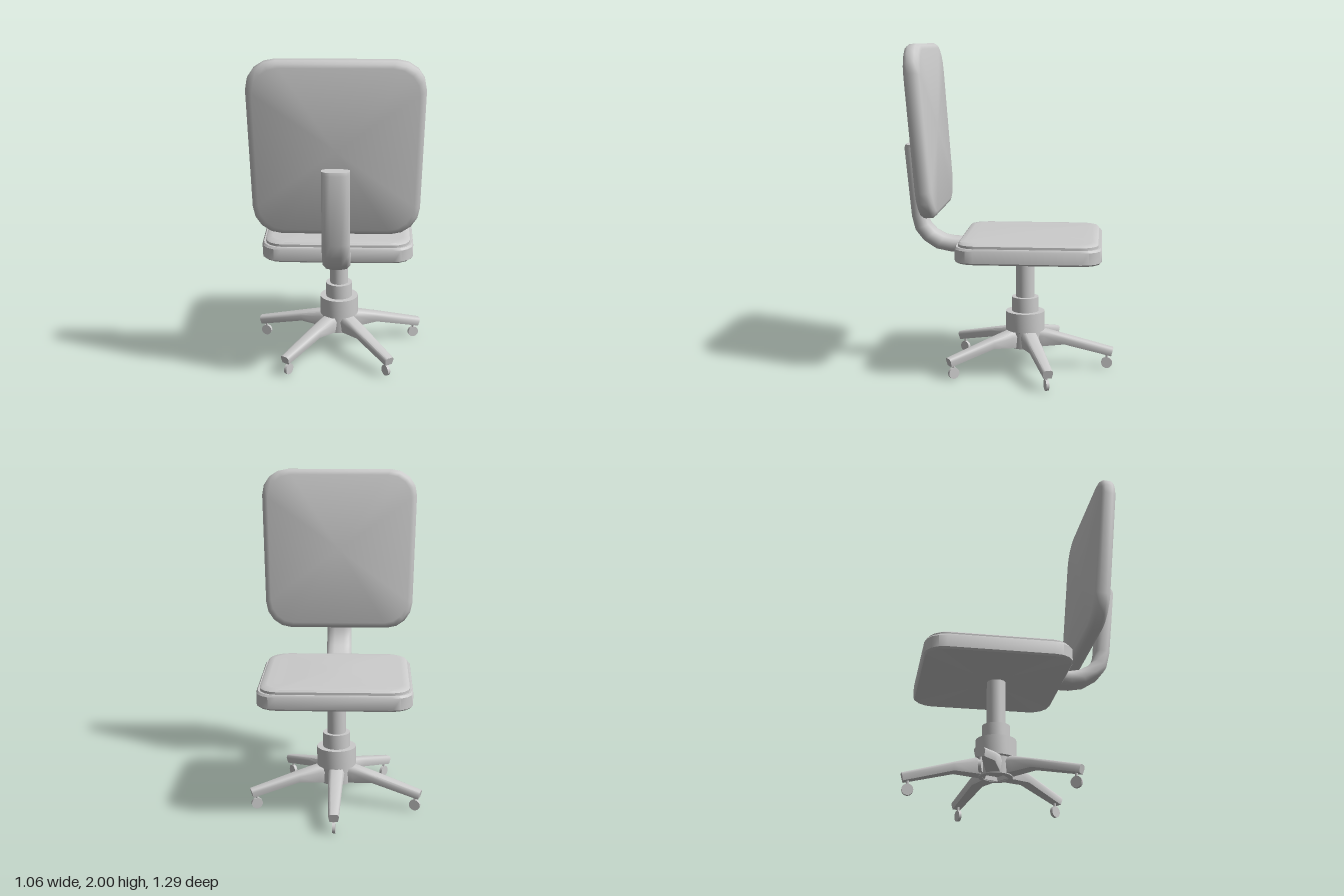
import * as THREE from 'three';
import { toCreasedNormals } from 'three/addons/utils/BufferGeometryUtils.js';

const material = new THREE.MeshStandardMaterial({ color: 0xcccccc, roughness: 0.8 });

function part(name, geometry, parent) {
  const mesh = new THREE.Mesh(geometry, material);
  mesh.name = name;
  parent.add(mesh);
  return mesh;
}

// Skin over counter-clockwise rings stacked along +z, closed at both ends
function loft(rings, crease = 0.7) {
  const n = rings[0].length, pos = [], idx = [];
  rings.forEach(r => r.forEach(p => pos.push(...p)));
  for (let i = 0; i < rings.length - 1; i++) {
    for (let j = 0; j < n; j++) {
      const a = i * n + j, b = i * n + (j + 1) % n;
      idx.push(a, b, b + n, a, b + n, a + n);
    }
  }
  [0, rings.length - 1].forEach(i => {
    const c = pos.length / 3;
    pos.push(...[0, 1, 2].map(k => rings[i].reduce((s, p) => s + p[k], 0) / n));
    for (let j = 0; j < n; j++) {
      const a = i * n + j, b = i * n + (j + 1) % n;
      if (i) idx.push(c, a, b); else idx.push(c, b, a);
    }
  });
  const g = new THREE.BufferGeometry();
  g.setAttribute('position', new THREE.Float32BufferAttribute(pos, 3));
  g.setIndex(idx);
  return toCreasedNormals(g, crease);
}

// Rounded rectangle ring at height z, with a few segments on each corner
function roundedRing(hx, hy, r, z, segments = 4) {
  const ring = [];
  [[1, 1], [-1, 1], [-1, -1], [1, -1]].forEach(([sx, sy], q) => {
    for (let k = 0; k <= segments; k++) {
      const a = (q + k / segments) * Math.PI / 2;
      ring.push([sx * (hx - r) + r * Math.cos(a), sy * (hy - r) + r * Math.sin(a), z]);
    }
  });
  return ring;
}

function buildSeat(chair) {
  const seat = new THREE.Group();
  seat.name = 'seat';
  seat.position.z = -0.132;
  chair.add(seat);
  // Shell with a softened rim
  const shell = [[0.445, 0.425, 0.728], [0.455, 0.433, 0.738], [0.455, 0.433, 0.808], [0.447, 0.426, 0.82]]
    .map(([hx, hz, y]) => roundedRing(hx, hz, 0.12, y));
  part('seatShell', loft(shell).rotateX(-Math.PI / 2), seat);
  // Cushion, crowned along its middle
  const crown = x => 0.014 * Math.max(0, 1 - (x / 0.42) ** 2) ** 2;
  const cushion = [[0.435, 0.413, 0.81], [0.435, 0.413, 0.835], [0.425, 0.403, 0.844]]
    .map(([hx, hz, y]) => roundedRing(hx, hz, 0.11, y));
  [0.93, 0.8, 0.6, 0.4, 0.2, 0.05].forEach(s =>
    cushion.push(roundedRing(0.425 * s, 0.403 * s, 0.11 * s, 0.846)));
  cushion.slice(2).forEach(r => r.forEach(p => { p[2] += crown(p[0]); }));
  part('seatCushion', loft(cushion).rotateX(-Math.PI / 2), seat);
}

function buildBackrest(chair) {
  // Slab wider at the top, with rounded rims front and back
  const rings = [[0.035, -0.05], [0.014, -0.042], [0, -0.022], [0, 0.022], [0.014, 0.042], [0.035, 0.05]]
    .map(([inset, z]) => roundedRing(0.485 - inset, 0.51 - inset, 0.165 - inset * 0.5, z)
      .map(([x, y, zz]) => [x * (1 + 0.06 * y), y, zz]));
  const back = part('backrest', loft(rings, 0.9), chair);
  back.position.set(0, 1.488, 0.492);
  back.rotation.x = 0.08;
}

function buildBackSupport(chair) {
  // Bent bar: stations of [z, y] on its outer and inner sides
  const outer = [[0.24, 0.728], [0.36, 0.728], [0.45, 0.745], [0.53, 0.797], [0.583, 0.865], [0.604, 0.95], [0.645, 1.37], [0.638, 1.39]];
  const inner = [[0.24, 0.815], [0.345, 0.817], [0.4, 0.828], [0.455, 0.857], [0.495, 0.9], [0.515, 0.96], [0.553, 1.37], [0.562, 1.39]];
  const section = [[-0.08, 0.28], [-0.06, 0.06], [-0.03, 0], [0.03, 0], [0.06, 0.06], [0.08, 0.28],
    [0.08, 0.75], [0.06, 0.96], [0.03, 1], [-0.03, 1], [-0.06, 0.96], [-0.08, 0.75]];
  const rings = outer.map(([oz, oy], i) => {
    const [iz, iy] = inner[i];
    return section.map(([x, t]) => [-x, oy + (iy - oy) * t, oz + (iz - oz) * t]).reverse();
  });
  part('backSupport', loft(rings, 0.9), chair);
}

function buildBase(chair) {
  const base = new THREE.Group();
  base.name = 'base';
  base.position.z = -0.095;
  chair.add(base);

  // Turned column, collar and hub
  const lathe = (name, points) => part(name, toCreasedNormals(
    new THREE.LatheGeometry(points.map(p => new THREE.Vector2(...p)), 32), 0.6), base);
  lathe('column', [[0.057, 0.4], [0.057, 0.735]]);
  lathe('collar', [[0.083, 0.34], [0.083, 0.447], [0.05, 0.447]]);
  lathe('hub', [[0.001, 0.16], [0.07, 0.16], [0.075, 0.132], [0.1, 0.132], [0.105, 0.235],
    [0.12, 0.24], [0.12, 0.357], [0.07, 0.357]]);

  // Leg stations: [top reach, bottom reach, bottom y, top y, half width]
  const stations = [[0.06, 0.06, 0.134, 0.246, 0.052], [0.12, 0.12, 0.14, 0.241, 0.05],
    [0.25, 0.245, 0.152, 0.208, 0.044], [0.548, 0.535, 0.08, 0.13, 0.031]];
  const legRings = stations.map(([zt, zb, y0, y1, w]) =>
    [[0.8, 0], [1, 0.65], [0.8, 0.92], [0.5, 1], [-0.5, 1], [-0.8, 0.92], [-1, 0.65], [-0.8, 0]]
      .map(([x, t]) => [x * w, y0 + (y1 - y0) * t, zb + (zt - zb) * t]));
  const legGeometry = loft(legRings, 0.8);
  const wheelGeometry = new THREE.CylinderGeometry(0.034, 0.034, 0.018, 20).rotateZ(Math.PI / 2);
  const stemGeometry = new THREE.CylinderGeometry(0.008, 0.008, 0.05, 10);

  // Five legs with casters, one pointing straight to -z
  for (let i = 0; i < 5; i++) {
    const arm = new THREE.Group();
    arm.name = 'legWithCaster';
    arm.rotation.y = Math.PI + i * Math.PI * 2 / 5;
    base.add(arm);
    part('leg', legGeometry, arm);
    part('casterWheel', wheelGeometry, arm).position.set(0, 0.034, 0.508);
    part('casterStem', stemGeometry, arm).position.set(0, 0.075, 0.508);
  }
}

export function createModel() {
  const chair = new THREE.Group();
  chair.name = 'officeChair';
  buildSeat(chair);
  buildBackrest(chair);
  buildBackSupport(chair);
  buildBase(chair);
  return chair;
}
